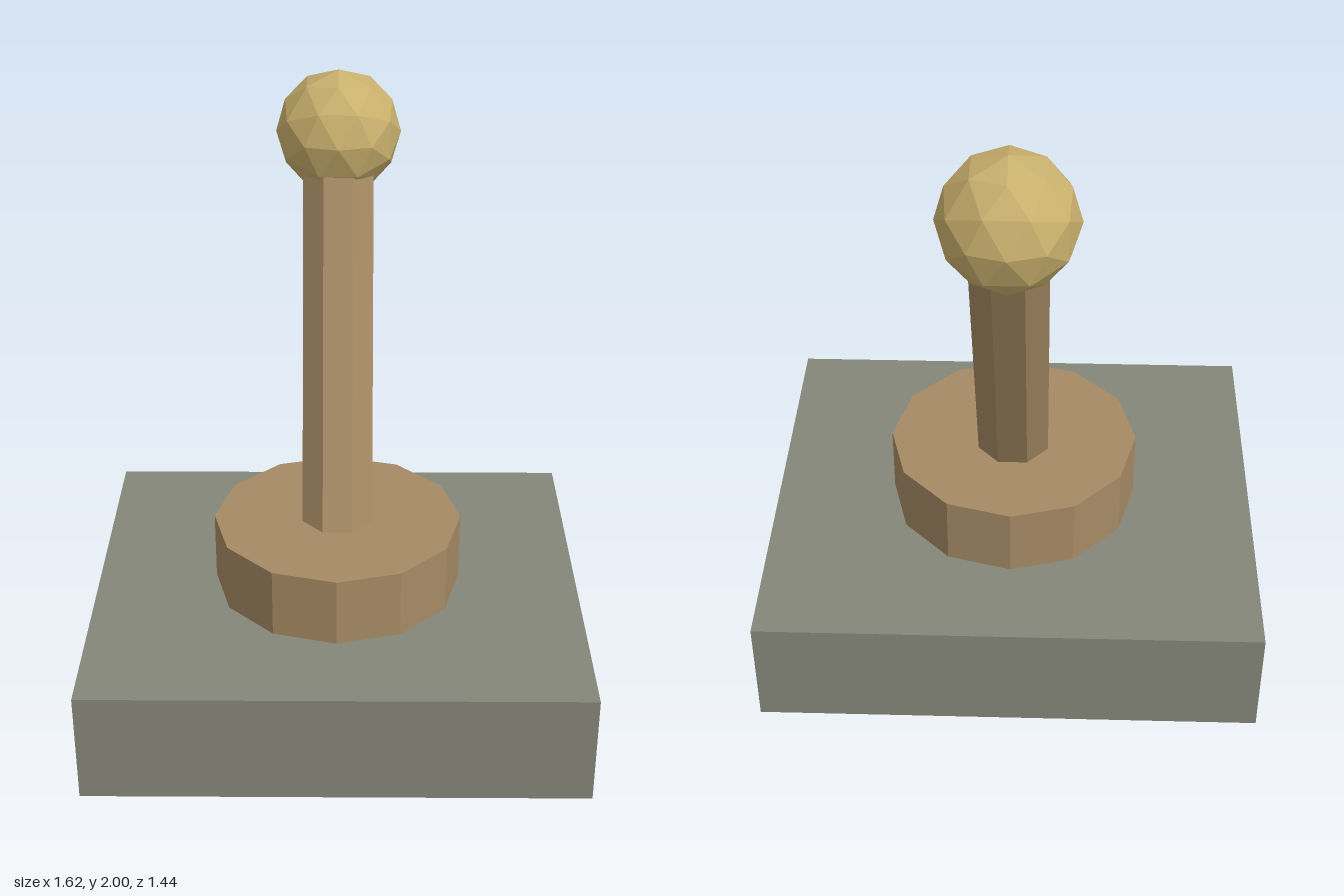
import * as THREE from 'three';

export function createModel() {
  const material = (name, color) => {
    const m = new THREE.MeshStandardMaterial({ color, flatShading: true });
    m.name = name;
    return m;
  };
  const stone = material('stone grey', 0x85867a);
  const wood = material('wood brown', 0xa68a64);
  const brass = material('brass', 0xc9b06d);

  const model = new THREE.Group();
  model.name = 'lever';
  const add = (name, geometry, mat, x, y, z) => {
    const mesh = new THREE.Mesh(geometry, mat);
    mesh.name = name;
    mesh.position.set(x, y, z);
    model.add(mesh);
    return mesh;
  };

  // Square base block
  add('base', new THREE.BoxGeometry(1.625, 0.375, 1.44), stone, 0, 0.1875, 0);

  // Twelve-sided collar
  add('collar', new THREE.CylinderGeometry(0.415, 0.415, 0.233, 12), wood, 0, 0.4915, 0);

  // Octagonal handle leaning back, flat sides facing front and sides
  const tilt = 0.4, pivotY = 0.567, start = -0.05, end = 1.26;
  const shaft = new THREE.CylinderGeometry(0.1265, 0.1265, end - start, 8);
  shaft.rotateY(Math.PI / 8);
  shaft.translate(0, (start + end) / 2, 0);
  add('handle', shaft, wood, 0, pivotY, 0).rotation.x = -tilt;

  // Faceted knob
  const knob = new THREE.IcosahedronGeometry(0.208, 1);
  knob.rotateY(Math.PI / 2);
  add('knob', knob, brass, 0, 1.792, -0.513);

  return model;
}
